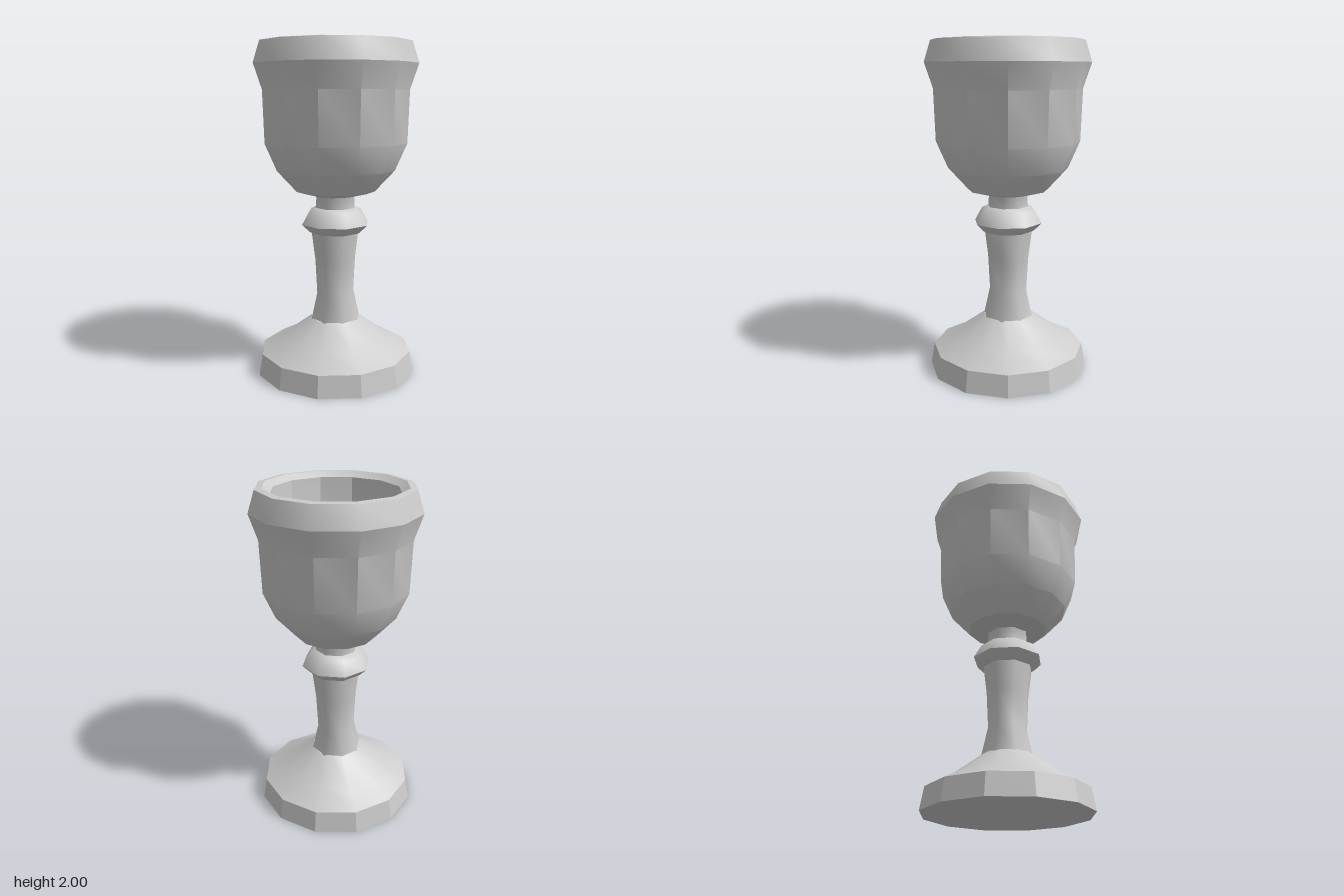
import * as THREE from 'three';
import { toCreasedNormals } from 'three/addons/utils/BufferGeometryUtils.js';

const grey = new THREE.MeshStandardMaterial({ color: 0xcccccc });
grey.name = 'plain grey';

// Revolves a profile of [radius, height] points into a faceted part
function turned(name, profile, sides, crease) {
  const points = profile.map(([r, y]) => new THREE.Vector2(r, y));
  const geometry = toCreasedNormals(new THREE.LatheGeometry(points, sides), crease);
  const mesh = new THREE.Mesh(geometry, grey);
  mesh.name = name;
  return mesh;
}

export function createModel() {
  const goblet = new THREE.Group();
  goblet.name = 'goblet';

  // Wide foot with a short upright rim and a sloping top
  goblet.add(turned('foot', [
    [0, 0], [0.487, 0], [0.465, 0.13], [0.32, 0.205], [0.15, 0.33], [0, 0.34],
  ], 12, 0.51));

  // Waisted stem, flaring into the foot and towards the knob
  goblet.add(turned('stem', [
    [0.155, 0.32], [0.117, 0.49], [0.128, 0.7], [0.15, 0.87],
  ], 8, 0.9));

  // Knob and the narrow neck that carries the cup
  goblet.add(turned('knob', [
    [0.14, 0.86], [0.165, 0.875], [0.21, 0.92], [0.165, 1.0], [0.125, 1.02], [0.12, 1.08], [0.14, 1.13],
  ], 8, 0.9));

  // Cup: outer wall, thick rolled rim, then the hollow inside
  goblet.add(turned('cup', [
    [0, 1.09], [0.12, 1.09], [0.24, 1.12], [0.36, 1.25], [0.43, 1.41], [0.44, 1.72], [0.49, 1.87],
    [0.45, 1.995], [0.41, 2.0], [0.365, 1.97],
    [0.36, 1.75], [0.32, 1.52], [0.2, 1.4], [0, 1.38],
  ], 12, 0.51));

  return goblet;
}
